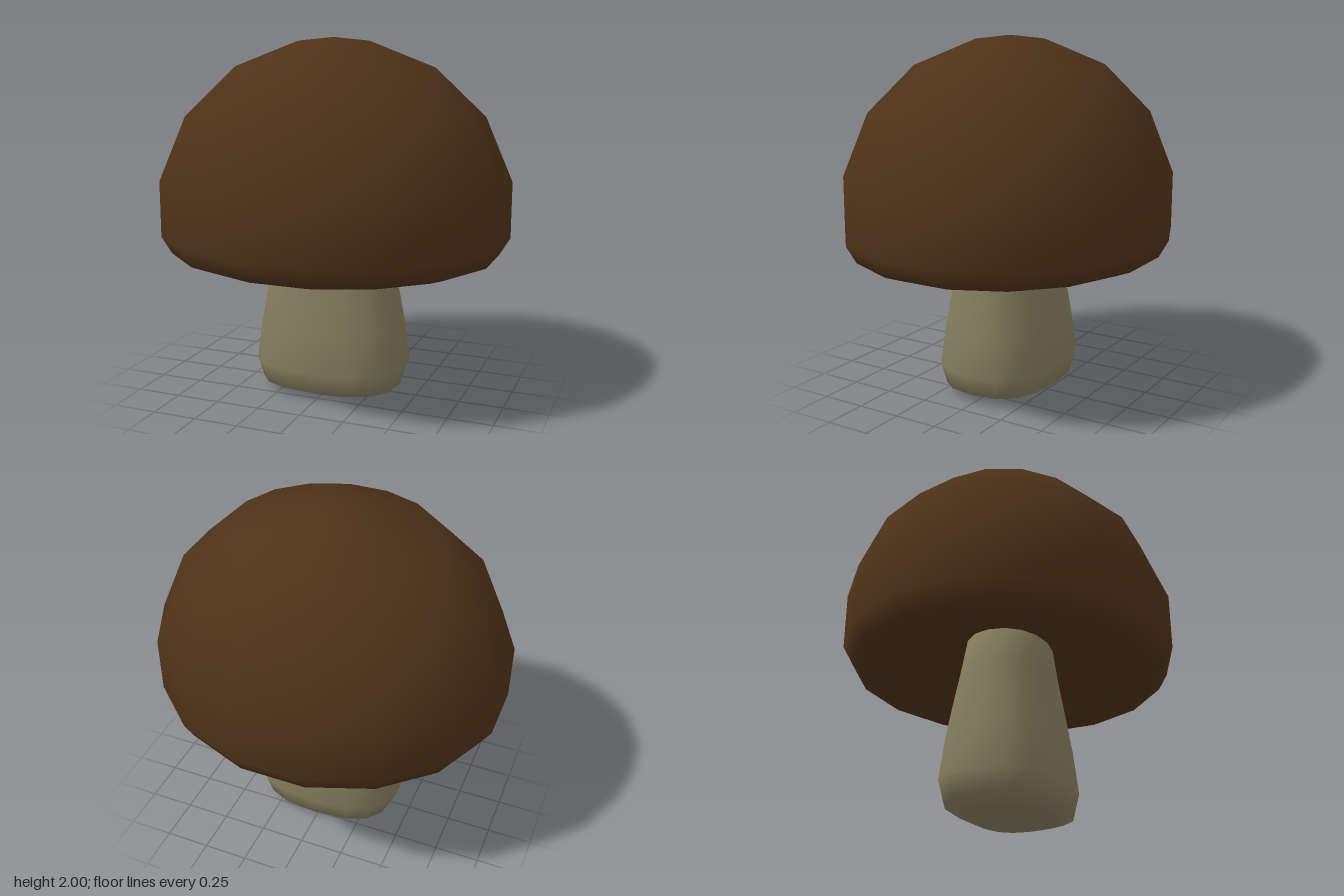
import * as THREE from 'three';
import { mergeVertices } from 'three/addons/utils/BufferGeometryUtils.js';

// Smooth skin over stacked rings [halfX, halfZ, y, squareness], from the bottom pole to the top pole.
// Squareness 2 is an ellipse; higher values bulge towards a rounded rectangle.
function loft(rings, sides, turn) {
  const positions = [];
  const index = [];
  const bulge = (v, n) => Math.sign(v) * Math.pow(Math.abs(v), 2 / n);
  rings.forEach(([rx, rz, y, n = 2], i) => {
    for (let j = 0; j < sides; j++) {
      const t = ((j + turn) / sides) * Math.PI * 2;
      positions.push(rx * bulge(Math.cos(t), n), y, rz * bulge(Math.sin(t), n));
      if (i === rings.length - 1) continue;
      const a = i * sides + j;
      const b = i * sides + ((j + 1) % sides);
      if (rx > 0) index.push(a, a + sides, b);
      if (rings[i + 1][0] > 0) index.push(b, a + sides, b + sides);
    }
  });
  const geometry = new THREE.BufferGeometry();
  geometry.setAttribute('position', new THREE.Float32BufferAttribute(positions, 3));
  geometry.setIndex(index);
  const merged = mergeVertices(geometry, 1e-5);
  merged.computeVertexNormals();
  return merged;
}

function part(name, geometry, color) {
  const mesh = new THREE.Mesh(geometry, new THREE.MeshStandardMaterial({ color }));
  mesh.name = name;
  return mesh;
}

export function createModel() {
  const group = new THREE.Group();
  group.name = 'mushroom';

  // Cap: hollow underside, rolled rim, faceted dome; slightly wider than deep
  const capProfile = [
    [0, 1.0], [0.3, 0.99], [0.55, 0.93], [0.73, 0.83], [0.84, 0.79],
    [0.933, 0.825], [0.99, 0.92], [0.99, 1.23], [0.838, 1.58],
    [0.56, 1.84], [0.2, 1.98], [0, 2.0],
  ];
  const capRings = capProfile.map(([r, y]) => [r, r * 0.907, y]);
  group.add(part('cap', loft(capRings, 16, 0.5), 0x4e3219));

  // Stem: rounded rectangle at the foot, tapering to an ellipse inside the cap
  const stemRings = [
    [0, 0, 0.005, 2.6],
    [0.13, 0.1, 0.006, 2.6],
    [0.29, 0.22, 0.018, 2.7],
    [0.4, 0.3, 0.055, 2.7],
    [0.436, 0.327, 0.17, 2.65],
    [0.41, 0.305, 0.4, 2.5],
    [0.376, 0.277, 0.6, 2.35],
    [0.338, 0.25, 0.79, 2.2],
    [0.29, 0.225, 1.0, 2.1],
    [0.2, 0.15, 1.06, 2],
    [0, 0, 1.08, 2],
  ];
  group.add(part('stem', loft(stemRings, 16, 0), 0x857c5e));

  return group;
}
